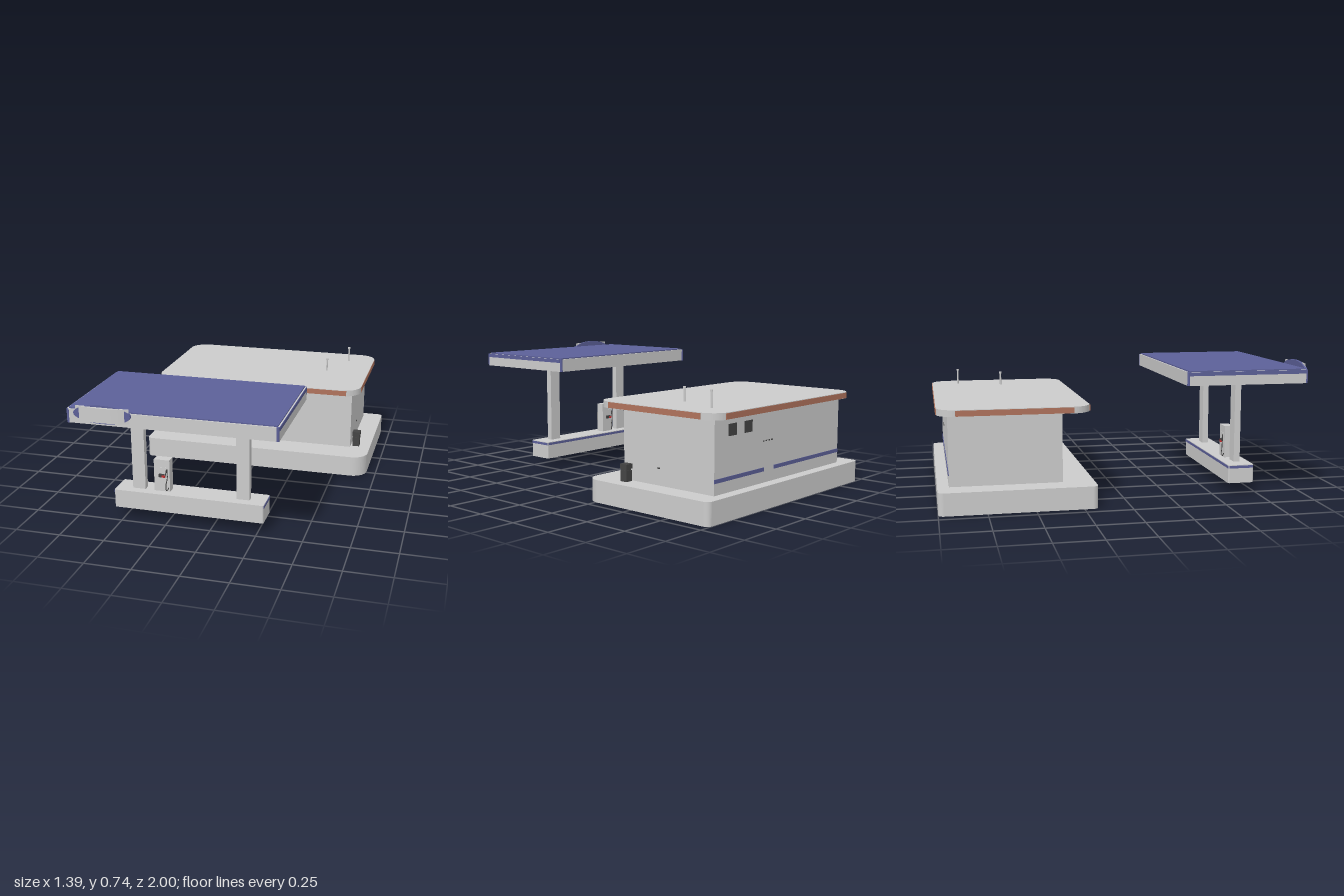
import * as THREE from 'three';

const mat = (color) => new THREE.MeshStandardMaterial({ color, side: THREE.DoubleSide });
const GREY = mat(0xcccccc), BLUE = mat(0x5c6098), BROWN = mat(0xb0735c), DARK = mat(0x444444), RED = mat(0xc03030);

function add(parent, name, geometry, material = GREY) {
  const mesh = new THREE.Mesh(geometry, material);
  mesh.name = name;
  parent.add(mesh);
  return mesh;
}

// Box given by its limits on each axis
function box(parent, name, [x0, x1], [y0, y1], [z0, z1], material) {
  const g = new THREE.BoxGeometry(x1 - x0, y1 - y0, z1 - z0);
  g.translate((x0 + x1) / 2, (y0 + y1) / 2, (z0 + z1) / 2);
  return add(parent, name, g, material);
}

// Slab with rounded plan corners; radii: front right, back right, back left, front left (+x is right here)
function slab([x0, x1], [y0, y1], [z0, z1], [a, b, c, d]) {
  const s = new THREE.Shape();
  const f = -z1, k = -z0;
  s.moveTo(x0 + d, f);
  s.lineTo(x1 - a, f);
  s.absarc(x1 - a, f + a, a, -Math.PI / 2, 0);
  s.lineTo(x1, k - b);
  s.absarc(x1 - b, k - b, b, 0, Math.PI / 2);
  s.lineTo(x0 + c, k);
  s.absarc(x0 + c, k - c, c, Math.PI / 2, Math.PI);
  s.lineTo(x0, f + d);
  s.absarc(x0 + d, f + d, d, Math.PI, Math.PI * 1.5);
  const g = new THREE.ExtrudeGeometry(s, { depth: y1 - y0, bevelEnabled: false, curveSegments: 8 });
  g.rotateX(-Math.PI / 2);
  g.translate(0, y0, 0);
  return g;
}

// Removes the bottom faces, leaving a hollow shell
function openBottom(geometry) {
  const g = geometry.index ? geometry.toNonIndexed() : geometry;
  g.computeBoundingBox();
  const p = g.attributes.position, low = g.boundingBox.min.y + 1e-4, out = [];
  for (let i = 0; i < p.count; i += 3) {
    if ([0, 1, 2].every((j) => p.getY(i + j) < low)) continue;
    for (let j = 0; j < 3; j++) out.push(p.getX(i + j), p.getY(i + j), p.getZ(i + j));
  }
  const r = new THREE.BufferGeometry();
  r.setAttribute('position', new THREE.Float32BufferAttribute(out, 3));
  r.computeVertexNormals();
  return r;
}

function group(parent, name) {
  const g = new THREE.Group();
  g.name = name;
  parent.add(g);
  return g;
}

function buildShop(root) {
  const shop = group(root, 'shop');
  add(shop, 'foundation', openBottom(slab([-0.695, 0.695], [0, 0.12], [-1, -0.175], [0.09, 0.03, 0.03, 0.03])));
  box(shop, 'foundationInnerStripe', [-0.66, 0.6], [0.09, 0.11], [-0.18, -0.177], BLUE);
  box(shop, 'walls', [-0.565, 0.575], [0.12, 0.495], [-0.94, -0.345]);

  // Roof with a brown band on its straight edges
  add(shop, 'roof', slab([-0.625, 0.635], [0.495, 0.53], [-0.996, -0.196], [0.1, 0.1, 0.1, 0.1]));
  for (const z of [-0.997, -0.197]) box(shop, 'roofBand', [-0.55, 0.56], [0.497, 0.527], [z - 0.002, z + 0.003], BROWN);
  for (const x of [-0.625, 0.635]) box(shop, 'roofBand', [x - 0.002, x + 0.002], [0.497, 0.527], [-0.9, -0.29], BROWN);

  // Back wall: windows, stripes and small fittings
  for (const x of [0.4, 0.27]) box(shop, 'window', [x, x + 0.065], [0.4, 0.46], [-0.943, -0.938], DARK);
  for (const span of [[0.165, 0.575], [-0.565, 0.075]]) box(shop, 'wallStripe', span, [0.18, 0.2], [-0.943, -0.938], BLUE);
  for (let i = 0; i < 4; i++) {
    const x = 0.09 + i * 0.025;
    box(shop, 'wallFitting', [x, x + 0.01], [0.335, 0.341], [-0.943, -0.938], DARK);
  }
  box(shop, 'sideFitting', [0.573, 0.579], [0.207, 0.213], [-0.593, -0.578], DARK);

  // Roof pipes with caps
  for (const [x, z, top] of [[0.375, -0.585, 0.61], [0.475, -0.84, 0.622]]) {
    const h = top - 0.53;
    add(shop, 'roofPipe', new THREE.CylinderGeometry(0.005, 0.005, h, 12)).position.set(x, 0.53 + h / 2, z);
    add(shop, 'pipeCap', new THREE.CylinderGeometry(0.008, 0.008, 0.01, 12)).position.set(x, top - 0.005, z);
  }

  // Waste bin
  const bin = group(shop, 'wasteBin');
  box(bin, 'binBody', [0.587, 0.628], [0.12, 0.178], [-0.411, -0.367], DARK);
  box(bin, 'binNeck', [0.59, 0.625], [0.178, 0.186], [-0.408, -0.37], DARK);
  box(bin, 'binLid', [0.585, 0.63], [0.186, 0.212], [-0.413, -0.365], DARK);
}

function buildPump(root) {
  const pump = group(root, 'pump');
  pump.position.set(-0.287, 0, 0.653);
  box(pump, 'pumpBody', [-0.044, 0.044], [0.165, 0.347], [-0.025, 0.025]);
  // The same fittings on both faces
  for (const turn of [0, Math.PI]) {
    const face = group(pump, 'pumpFace');
    face.rotation.y = turn;
    box(face, 'display', [-0.02, 0.025], [0.245, 0.305], [0.024, 0.028]);
    box(face, 'holster', [-0.015, 0.015], [0.25, 0.268], [0.028, 0.036], DARK);
    box(face, 'nozzle', [0.004, 0.022], [0.252, 0.262], [0.034, 0.042], RED);
    const hose = new THREE.CatmullRomCurve3([
      [0.022, 0.257, 0.036], [0.031, 0.3, 0.033], [0.034, 0.25, 0.036], [0.024, 0.2, 0.035], [0.028, 0.172, 0.033], [0.038, 0.19, 0.027],
    ].map((p) => new THREE.Vector3(...p)));
    add(face, 'hose', new THREE.TubeGeometry(hose, 30, 0.0025, 6), DARK);
  }
}

function buildForecourt(root) {
  const court = group(root, 'forecourt');
  // Hollow island with a stripe on its ends and back
  add(court, 'island', openBottom(slab([-0.545, 0.285], [0.065, 0.166], [0.58, 0.725], [0.008, 0.008, 0.008, 0.008])));
  for (const x of [-0.545, 0.285]) box(court, 'islandStripe', [x - 0.002, x + 0.002], [0.148, 0.162], [0.585, 0.72], BLUE);
  box(court, 'islandStripe', [-0.54, 0.28], [0.148, 0.162], [0.578, 0.582], BLUE);
  for (const x of [-0.42, 0.162]) box(court, 'column', [x - 0.036, x + 0.036], [0.166, 0.63], [0.64, 0.675]);

  // Canopy with blue top, end stripes and corners
  add(court, 'canopy', slab([-0.675, 0.42], [0.628, 0.7], [0.303, 0.97], [0.012, 0.012, 0.012, 0.012]));
  add(court, 'canopyTop', slab([-0.666, 0.411], [0.698, 0.706], [0.312, 0.961], [0.008, 0.008, 0.008, 0.008]), BLUE);
  for (const x of [-0.675, 0.42]) {
    box(court, 'canopyStripe', [x - 0.002, x + 0.002], [0.68, 0.7], [0.312, 0.961], BLUE);
    for (const z of [0.309, 0.964]) {
      const corner = new THREE.CylinderGeometry(0.0085, 0.0085, 0.072, 12);
      add(court, 'canopyCorner', corner, BLUE).position.set(x - Math.sign(x) * 0.008, 0.664, z);
    }
  }
}

function buildSign(root) {
  const sign = group(root, 'sign');
  sign.position.set(-0.48, 0.688, 0);
  // Oval backing plate
  const oval = new THREE.Shape();
  oval.absellipse(0, 0, 0.152, 0.048, 0, Math.PI * 2);
  const plate = new THREE.ExtrudeGeometry(oval, { depth: 0.014, bevelEnabled: false, curveSegments: 16 });
  plate.translate(0, 0, 0.97);
  add(sign, 'signPlate', plate, BLUE);
  // Gently bowed front panel
  const bow = new THREE.Shape();
  bow.moveTo(-0.142, -0.978);
  bow.quadraticCurveTo(0, -1.022, 0.142, -0.978);
  bow.closePath();
  const panel = new THREE.ExtrudeGeometry(bow, { depth: 0.076, bevelEnabled: false, curveSegments: 16 });
  panel.rotateX(-Math.PI / 2);
  panel.translate(0, -0.038, 0);
  add(sign, 'signPanel', panel);
}

export function createModel() {
  const root = new THREE.Group();
  root.name = 'fuelStation';
  buildShop(root);
  buildForecourt(root);
  buildPump(root);
  buildSign(root);
  return root;
}
